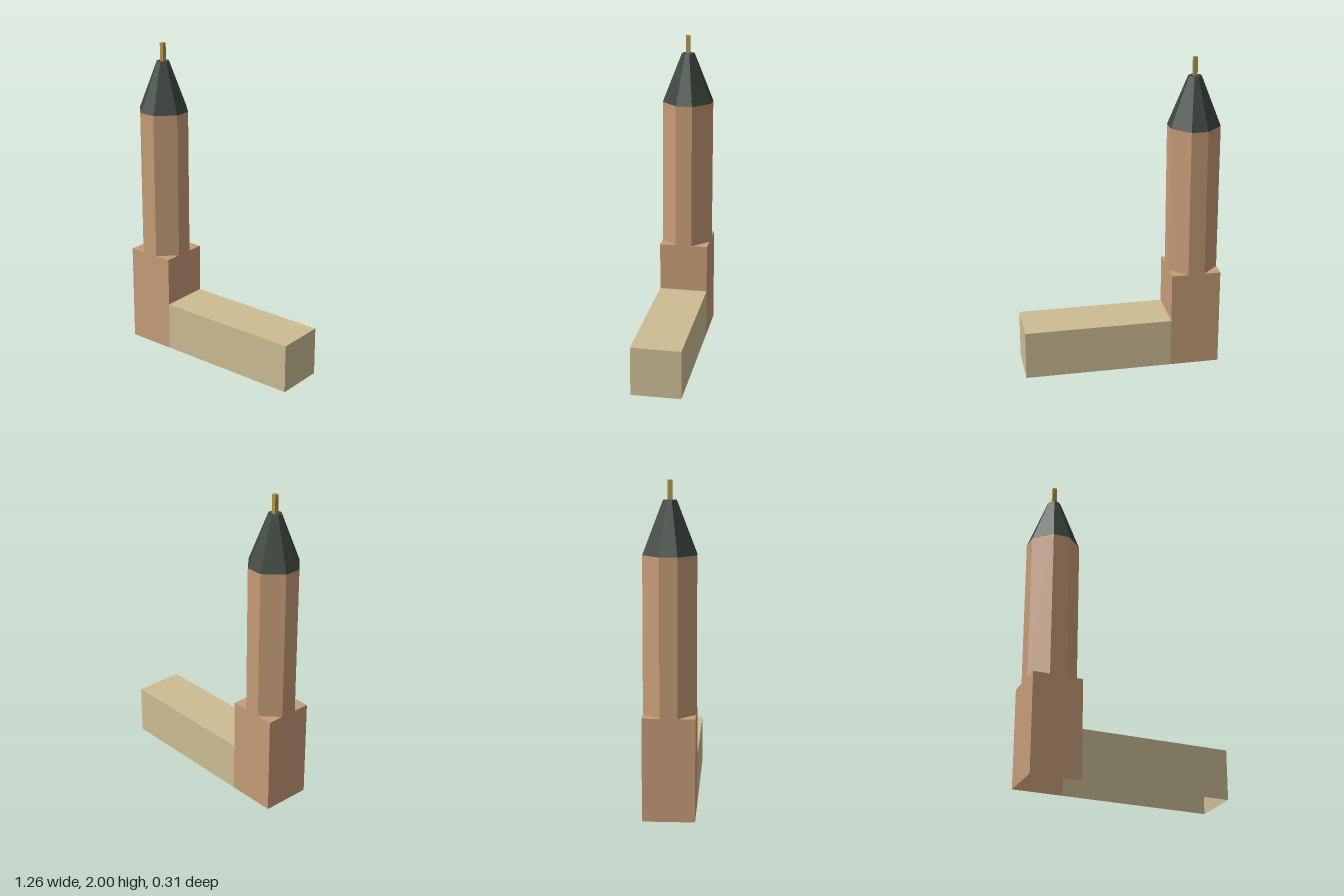
import * as THREE from 'three';

const A = 0.157;         // half width of tower and beam
const B = A / 3;         // half width of the octagon's straight sides
const BEAM = 0.314, SHOULDER = 0.628, EAVES = 1.571, CROWN = 1.885, TOP = 2;
const TOWER_X = -0.471, END_X = 0.628 - TOWER_X; // beam end, relative to the tower axis

// Outlines as [x, z], anticlockwise seen from above
const square = [[-A, A], [A, A], [A, -A], [-A, -A]];
const octagon = [[-B, A], [B, A], [A, B], [A, -B], [B, -A], [-B, -A], [-A, -B], [-A, B]];
const scaled = (ring, s) => ring.map(([x, z]) => [x * s, z * s]);

// Upright or sloping face above the outline edge p -> q
const wall = (p, q, y0, y1, p1 = p, q1 = q) =>
  [[p[0], y0, p[1]], [q[0], y0, q[1]], [q1[0], y1, q1[1]], [p1[0], y1, p1[1]]];

// Walls all round, from a lower outline to an upper one
const loft = (low, y0, high, y1) => low.map((p, i) => {
  const j = (i + 1) % low.length;
  return wall(p, low[j], y0, y1, high[i], high[j]);
});

// Level face filling an outline
const cap = (ring, y) => ring.map(([x, z]) => [x, y, z]);

// Mesh from flat convex faces, each split into a fan
function shell(name, color, faces) {
  const pos = [];
  for (const f of faces)
    for (let i = 1; i < f.length - 1; i++) pos.push(...f[0], ...f[i], ...f[i + 1]);
  const geo = new THREE.BufferGeometry();
  geo.setAttribute('position', new THREE.Float32BufferAttribute(pos, 3));
  geo.computeVertexNormals();
  const mesh = new THREE.Mesh(geo, new THREE.MeshStandardMaterial({
    color, flatShading: true, side: THREE.DoubleSide }));
  mesh.name = name;
  mesh.position.x = TOWER_X;
  return mesh;
}

export function createModel() {
  const model = new THREE.Group();
  model.name = 'towerWithBeam';

  // Square base, open below and open towards the beam
  const base = square.map((p, i) => wall(p, square[(i + 1) % 4], i === 1 ? BEAM : 0, SHOULDER));
  // Triangular ledges where the square turns into an octagon
  square.forEach((_, k) => {
    const i = 2 * k + 1;
    base.push(cap([octagon[i], square[(k + 1) % 4], octagon[(i + 1) % 8]], SHOULDER));
  });
  model.add(shell('towerBase', 0xc69c78, base));

  // Octagonal shaft
  model.add(shell('towerShaft', 0xc69c78, loft(octagon, SHOULDER, octagon, EAVES)));

  // Tapering roof with a small flat top
  const crown = scaled(octagon, 0.25);
  model.add(shell('roof', 0x3c463e, [...loft(octagon, EAVES, crown, CROWN), cap(crown, CROWN)]));

  // Square spike
  const spike = scaled(square, 1 / 12);
  model.add(shell('spike', 0xb0954a, [...loft(spike, CROWN, spike, TOP), cap(spike, TOP)]));

  // Long low beam, open below and joined to the base
  const beam = [[A, A], [END_X, A], [END_X, -A], [A, -A]];
  const sides = [0, 1, 2].map(i => wall(beam[i], beam[i + 1], 0, BEAM));
  model.add(shell('beam', 0xcdbd94, [...sides, cap(beam, BEAM)]));

  return model;
}
